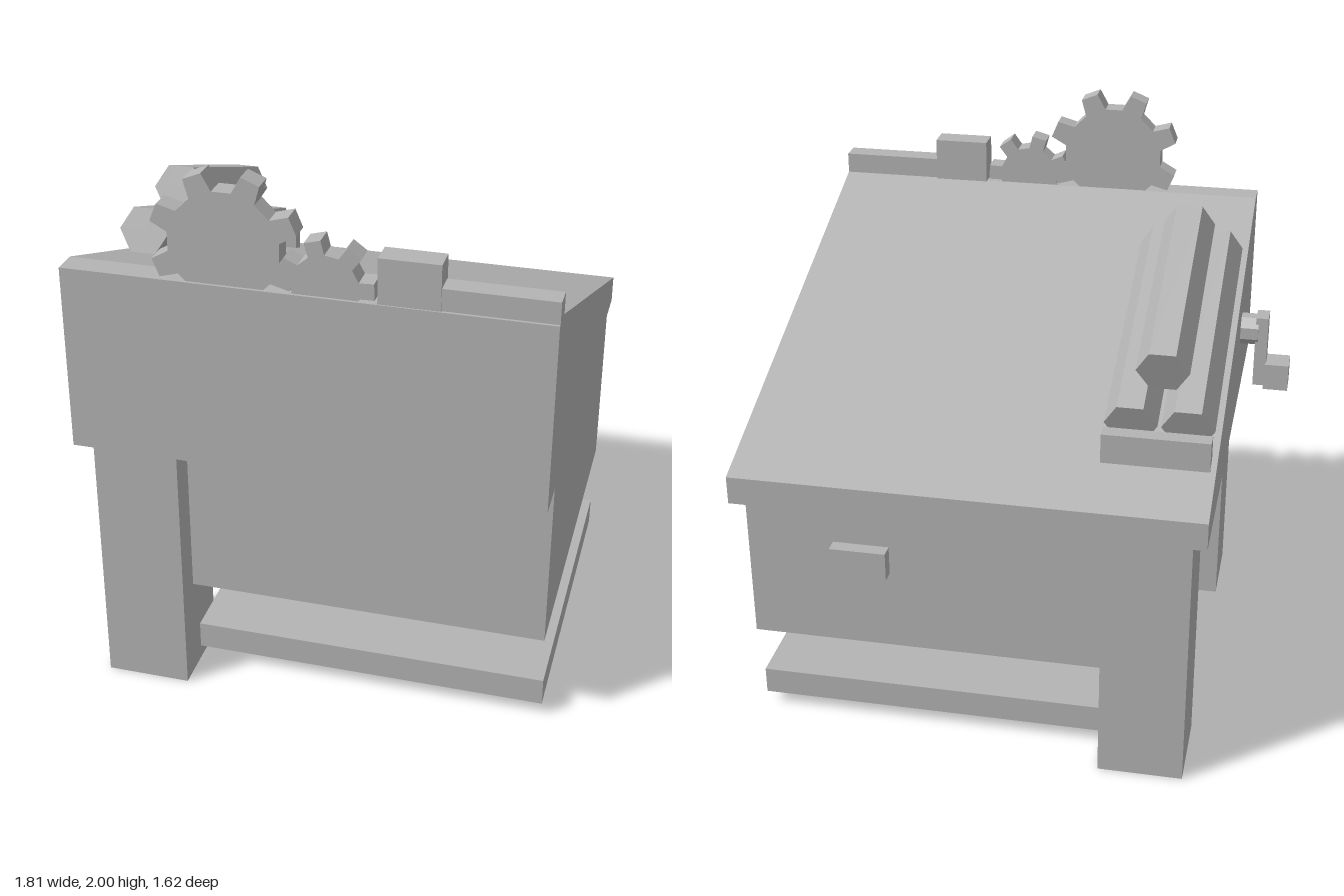
import * as THREE from 'three';

const grey = new THREE.MeshStandardMaterial({ color: 0xb4b4b4, flatShading: true });
grey.name = 'plain grey';

export function createModel() {
  const model = new THREE.Group();
  model.name = 'slopedDesk';

  const add = (name, geometry) => {
    const mesh = new THREE.Mesh(geometry, grey);
    mesh.name = name;
    model.add(mesh);
    return mesh;
  };
  // Box given by its limits on each axis
  const box = (name, [x0, x1], [y0, y1], [z0, z1]) =>
    add(name, new THREE.BoxGeometry(x1 - x0, y1 - y0, z1 - z0))
      .position.set((x0 + x1) / 2, (y0 + y1) / 2, (z0 + z1) / 2);

  // Sloped top: side profile in (z, y), extruded across x
  const profile = new THREE.Shape([
    [-0.81, 0.97], [0.81, 0.97], [0.81, 1.63], [0.72, 1.63], [-0.81, 1.07],
  ].map(([z, y]) => new THREE.Vector2(z, y)));
  add('slopedTop', new THREE.ExtrudeGeometry(profile, { depth: 1.62, bevelEnabled: false })
    .rotateY(-Math.PI / 2).translate(0.9, 0, 0));

  // Body, legs and base
  box('cabinet', [-0.37, 0.9], [0.36, 0.97], [-0.66, 0.66]);
  box('drawerHandle', [0.39, 0.59], [0.66, 0.765], [-0.71, -0.66]);
  box('frontLeg', [-0.67, -0.37], [0, 0.97], [0.46, 0.76]);
  box('backLeg', [-0.67, -0.37], [0, 0.97], [-0.76, -0.46]);
  box('baseShelf', [-0.37, 0.9], [0.05, 0.15], [-0.61, 0.61]);
  box('lowerBook', [-0.21, 0.19], [0.15, 0.255], [-0.3, 0]);
  box('upperBook', [-0.165, 0.14], [0.255, 0.34], [-0.25, 0.05]);

  // Hexagonal rods stacked on the slope, held by a ledge
  const slope = Math.atan2(0.56, 1.53);
  const rod = (name, x, y, z, length) =>
    add(name, new THREE.CylinderGeometry(0.09, 0.09, length, 6)
      .rotateY(Math.PI / 6).rotateX(Math.PI / 2 - slope)).position.set(x, y, z);
  rod('lowerRodRight', -0.615, 1.415, -0.1, 0.915);
  rod('lowerRodLeft', -0.423, 1.415, -0.1, 0.915);
  rod('upperRod', -0.519, 1.567, -0.13, 0.756);
  box('rodLedge', [-0.7, -0.335], [1.1, 1.25], [-0.605, -0.548]);

  // Crank on the side
  add('crankShaft', new THREE.CylinderGeometry(0.057, 0.057, 0.085, 8)
    .rotateY(Math.PI / 8).rotateZ(Math.PI / 2)).position.set(-0.7425, 1.27, 0.3);
  box('crankArm', [-0.82, -0.775], [1.06, 1.33], [0.26, 0.34]);
  box('crankKnob', [-0.905, -0.815], [1.05, 1.15], [0.25, 0.35]);

  // Gears standing along the front edge; angles in degrees clockwise from the top
  const gear = (name, x, y, teeth, root, tip, start, baseHalf, tipHalf) => {
    const points = [];
    for (let i = 0; i < teeth; i++) {
      const mid = start + (i * 360) / teeth;
      for (const [r, off] of [[root, -baseHalf], [tip, -tipHalf], [tip, tipHalf], [root, baseHalf]]) {
        const a = THREE.MathUtils.degToRad(mid + off);
        points.push(new THREE.Vector2(r * Math.sin(a), r * Math.cos(a)));
      }
    }
    add(name, new THREE.ExtrudeGeometry(new THREE.Shape(points), { depth: 0.076, bevelEnabled: false }))
      .position.set(x, y, 0.724);
  };
  gear('largeGear', -0.163, 1.76, 8, 0.186, 0.248, 22.5, 12.5, 7.5);
  gear('smallGear', 0.167, 1.66, 7, 0.112, 0.16, -15, 14, 10);

  // Blocks along the front edge
  box('tallBlock', [0.335, 0.535], [1.6, 1.785], [0.715, 0.805]);
  box('longBlock', [0.535, 0.9], [1.6, 1.705], [0.722, 0.8]);

  return model;
}
